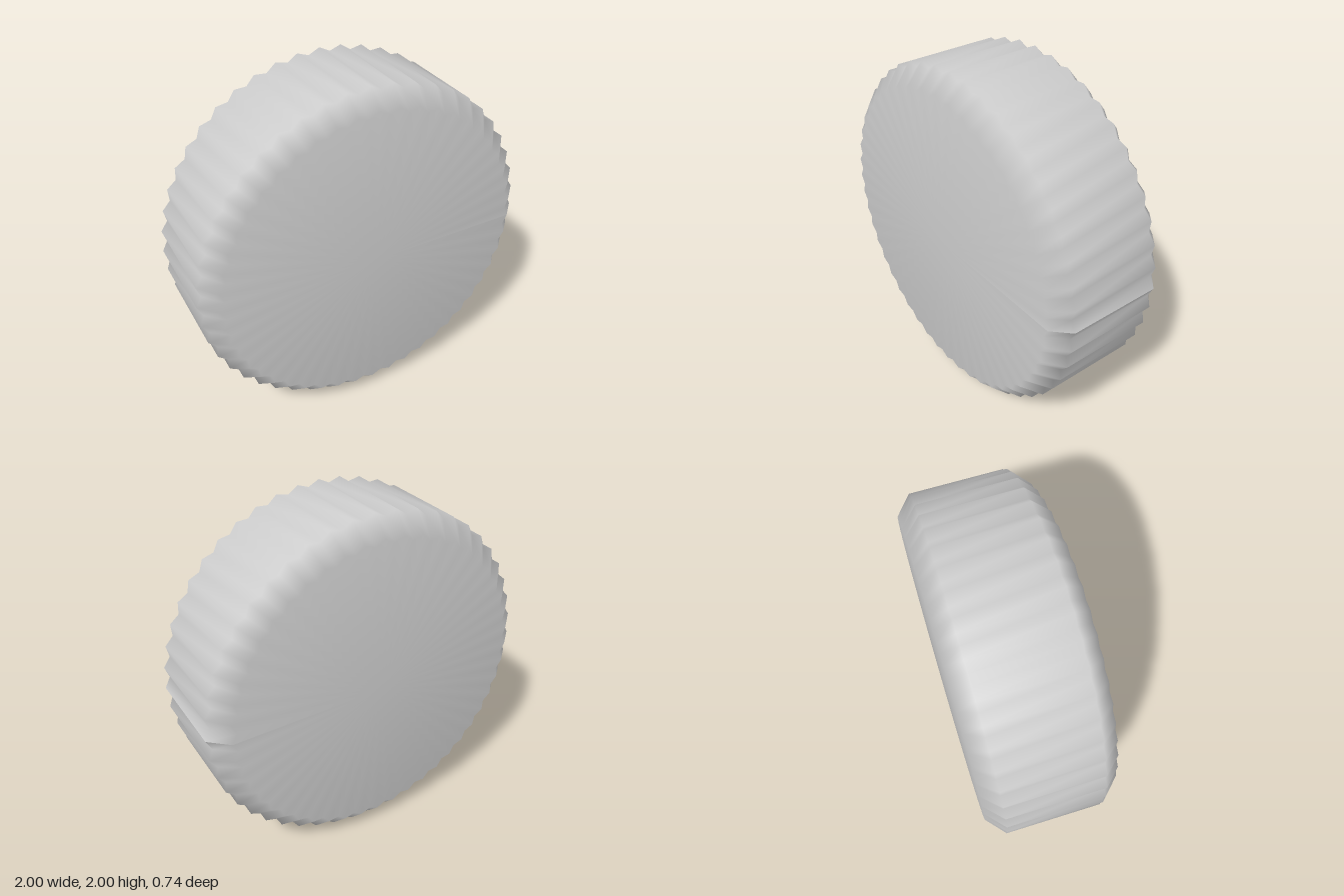
import * as THREE from 'three';

const TEETH = 48;
const VALLEY = 0.97; // valley radius relative to ridge radius

export function createModel() {
  const group = new THREE.Group();
  group.name = 'ridgedDisc';

  // Bevelled disc profile, from back centre to front centre
  const profile = [
    [0, -0.368], [0.895, -0.368], [1, -0.273],
    [1, 0.273], [0.906, 0.368], [0, 0.368],
  ].map(([r, h]) => new THREE.Vector2(r, h));

  const geometry = new THREE.LatheGeometry(profile, TEETH * 2);

  // Pull every second meridian inwards to form the ridges around the rim
  const pos = geometry.attributes.position;
  for (let i = 0; i < pos.count; i++) {
    const meridian = Math.floor(i / profile.length);
    const k = meridian % 2 ? VALLEY : 1;
    pos.setXYZ(i, pos.getX(i) * k, pos.getY(i), pos.getZ(i) * k);
  }
  geometry.computeVertexNormals();

  // Stand the disc upright, facing the front, with its seam on the left side
  geometry.rotateX(Math.PI / 2);
  geometry.rotateZ(Math.PI / 2);
  geometry.translate(0, 1, 0);

  const disc = new THREE.Mesh(geometry, new THREE.MeshStandardMaterial({ color: 0xcccccc }));
  disc.name = 'ridgedCap';
  group.add(disc);
  return group;
}
